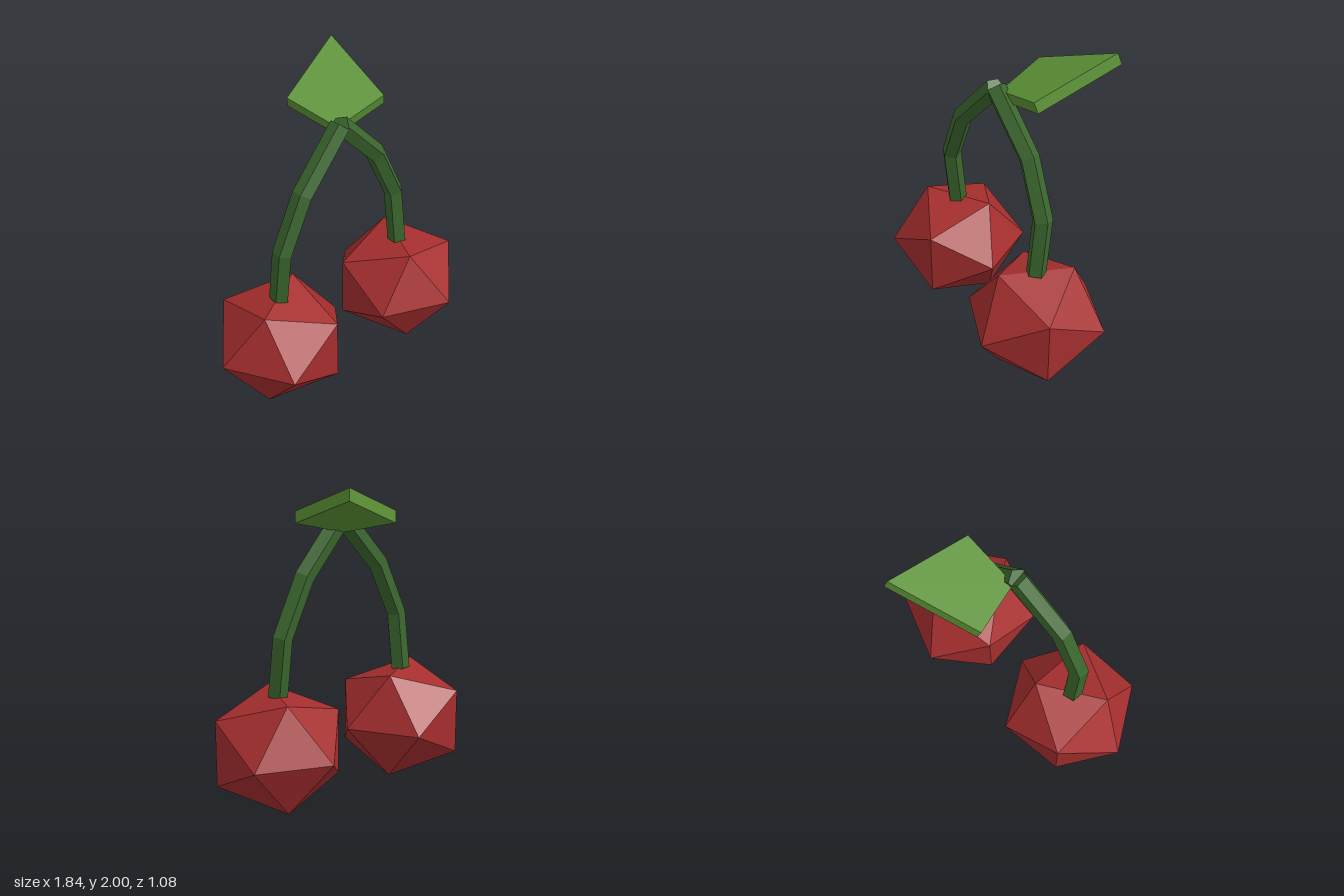
import * as THREE from 'three';

const material = (name, color) => {
  const m = new THREE.MeshStandardMaterial({ color, flatShading: true });
  m.name = name;
  return m;
};

// Closed solid through matching rings, each counterclockwise seen from the far end
function loft(rings) {
  const n = rings[0].length;
  const pos = [], index = [];
  rings.forEach(ring => ring.forEach(p => pos.push(p.x, p.y, p.z)));
  for (let k = 0; k < rings.length - 1; k++) {
    for (let i = 0; i < n; i++) {
      const a = k * n + i, b = k * n + (i + 1) % n;
      index.push(a, b, b + n, a, b + n, a + n);
    }
  }
  const last = (rings.length - 1) * n;
  for (let i = 1; i < n - 1; i++) {
    index.push(0, i + 1, i, last, last + i, last + i + 1);
  }
  const g = new THREE.BufferGeometry();
  g.setAttribute('position', new THREE.Float32BufferAttribute(pos, 3));
  g.setIndex(index);
  const flat = g.toNonIndexed();
  flat.computeVertexNormals();
  return flat;
}

// Five-sided tube along a bent path lying in one tilted plane
function stemGeometry(path, radius) {
  const first = path[0], end = path[path.length - 1];
  const front = new THREE.Vector3(0, first.z - end.z, end.y - first.y).normalize();
  const rings = path.map((p, k) => {
    const tangent = new THREE.Vector3();
    if (k > 0) tangent.add(p.clone().sub(path[k - 1]).normalize());
    if (k < path.length - 1) tangent.add(path[k + 1].clone().sub(p).normalize());
    tangent.normalize();
    const side = new THREE.Vector3().crossVectors(front, tangent);
    return Array.from({ length: 5 }, (_, i) => {
      const a = Math.PI / 2 + i * Math.PI * 2 / 5;
      return p.clone()
        .addScaledVector(side, radius * Math.cos(a))
        .addScaledVector(front, radius * Math.sin(a));
    });
  });
  return loft(rings);
}

export function createModel() {
  const group = new THREE.Group();
  const red = material('cherry red', 0xa62e2e);
  const stemGreen = material('stem green', 0x3b662e);
  const leafGreen = material('leaf green', 0x5c9236);

  const add = (name, geometry, mat) => {
    const mesh = new THREE.Mesh(geometry, mat);
    mesh.name = name;
    group.add(mesh);
    return mesh;
  };

  // Faceted fruits, slightly squashed and turned differently
  const fruits = [
    { name: 'rightCherry', at: [-0.475, 0.345, -0.17], turn: 0.315 },
    { name: 'leftCherry', at: [0.495, 0.345, 0.079], turn: 0.957 },
  ];
  for (const f of fruits) {
    const cherry = add(f.name, new THREE.IcosahedronGeometry(0.46, 0), red);
    cherry.position.set(...f.at);
    cherry.rotation.y = f.turn;
    cherry.scale.y = 0.88;
  }

  // Stems meeting at the top
  const stems = [
    { name: 'rightStem', xs: [-0.477, -0.477, -0.318, 0.01], z: -0.163 },
    { name: 'leftStem', xs: [0.493, 0.493, 0.333, 0.01], z: 0.084 },
  ];
  const ys = [0.68, 1.055, 1.41, 1.747];
  for (const s of stems) {
    const path = ys.map((y, i) => {
      const t = (y - ys[0]) / (ys[3] - ys[0]);
      return new THREE.Vector3(s.xs[i], y, THREE.MathUtils.lerp(s.z, -0.042, t));
    });
    add(s.name, stemGeometry(path, 0.066), stemGreen);
  }

  // Thick kite-shaped leaf, tilted up and back
  const top = [[0.02, 1.72, -0.07], [0.38, 1.81, 0.02], [0.55, 2, -0.51], [0, 1.81, -0.44]]
    .map(p => new THREE.Vector3(...p));
  const drop = new THREE.Vector3(0.022, -0.07, -0.015);
  add('leaf', loft([top.map(p => p.clone().add(drop)), top]), leafGreen);

  return group;
}
